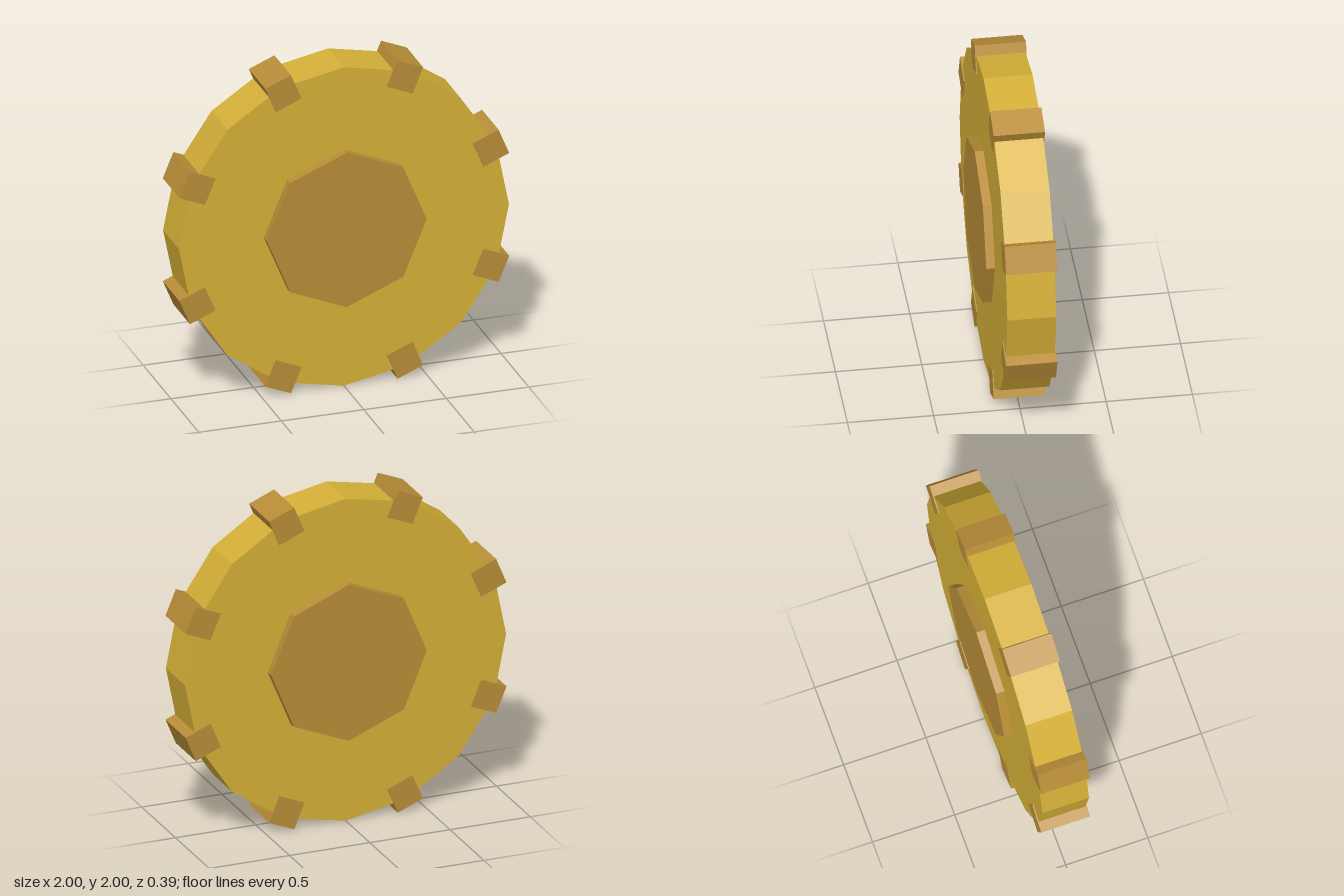
import * as THREE from 'three';

const gold = new THREE.MeshStandardMaterial({ color: 0xd4af37, flatShading: true });
const bronze = new THREE.MeshStandardMaterial({ color: 0xb88d37, flatShading: true });

// Low-poly disc lying in the XY plane, with a corner pointing straight up
function disc(name, radius, depth, sides, material) {
  const geometry = new THREE.CylinderGeometry(radius, radius, depth, sides);
  geometry.rotateX(Math.PI / 2);
  const mesh = new THREE.Mesh(geometry, material);
  mesh.name = name;
  return mesh;
}

export function createModel() {
  const wheel = new THREE.Group();
  wheel.name = 'studdedWheel';
  wheel.position.y = 1;

  // Wheel body, and a hub that stands proud on both faces
  wheel.add(disc('wheelBody', 1, 0.284, 16, gold));
  wheel.add(disc('hub', 0.485, 0.386, 8, bronze));

  // Eight square studs wrapped across the rim
  const studs = new THREE.Group();
  studs.name = 'rimStuds';
  const studGeometry = new THREE.BoxGeometry(0.168, 0.168, 0.298);
  for (let i = 0; i < 8; i++) {
    const angle = Math.PI / 8 + (i * Math.PI) / 4;
    const stud = new THREE.Mesh(studGeometry, bronze);
    stud.name = `rimStud${i + 1}`;
    stud.position.set(Math.cos(angle) * 0.963, Math.sin(angle) * 0.963, 0);
    stud.rotation.z = angle;
    studs.add(stud);
  }
  wheel.add(studs);

  const model = new THREE.Group();
  model.name = 'model';
  model.add(wheel);
  return model;
}
